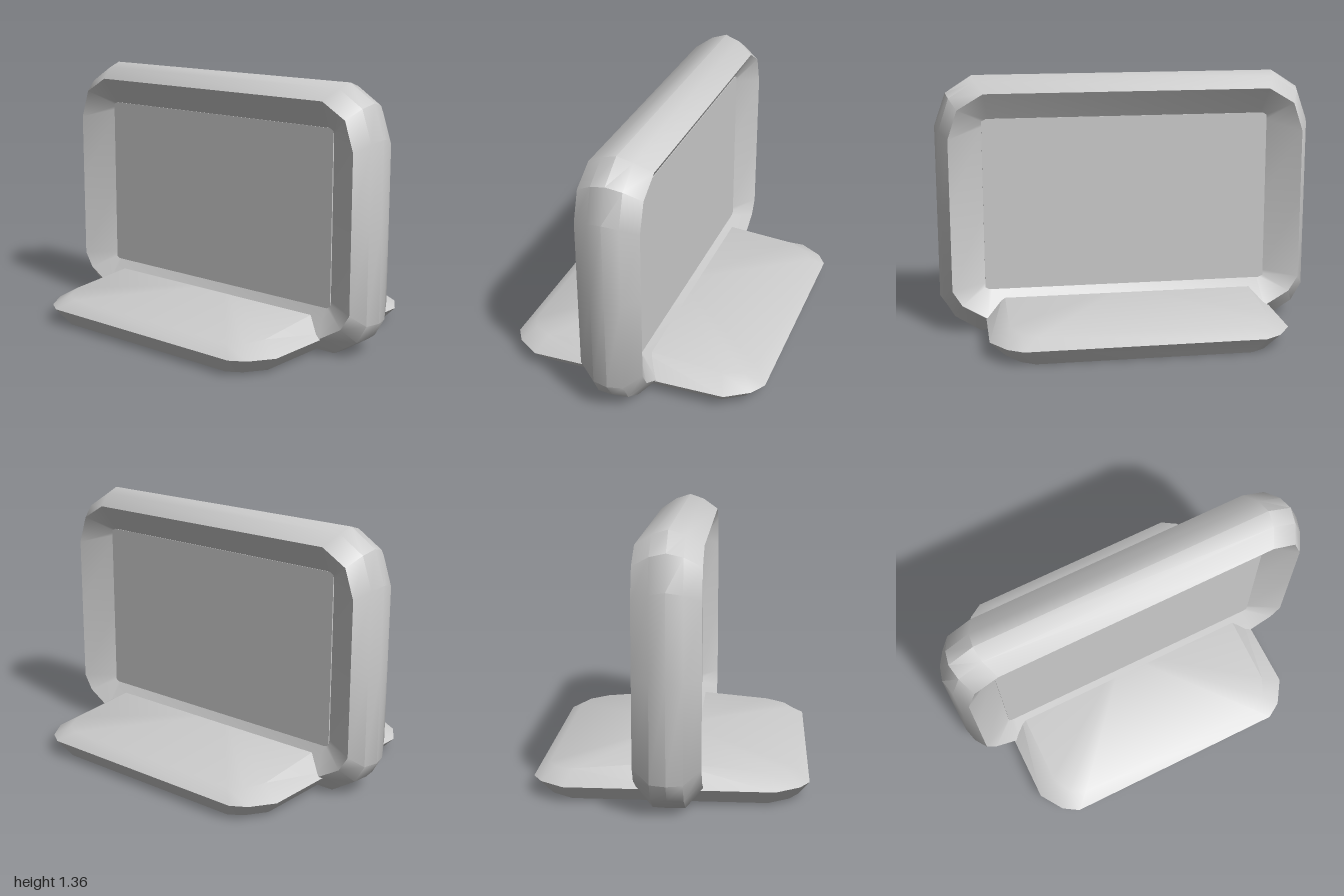
import * as THREE from 'three';
import { toCreasedNormals } from 'three/addons/utils/BufferGeometryUtils.js';

// Closed outline with two-step chamfered corners, counter-clockwise.
// c = [corner run in x, mid x inset, mid y inset, run at top, run at bottom]
function outline(w, lo, hi, [cx, mx, my, cyHi, cyLo]) {
  const mid = (lo + hi) / 2;
  const right = [[w - cx, lo], [w - mx, lo + my], [w, lo + cyLo], [w, mid],
    [w, hi - cyHi], [w - mx, hi - my], [w - cx, hi]];
  const left = right.map(([x, y]) => [-x, y]).reverse();
  return [...right, ...left];
}

// Skin between successive rings of [x, y, z], with optional fan caps
function loft(rings, capStart, capEnd) {
  const pos = [];
  const tri = (...pts) => pts.forEach((p) => pos.push(...p));
  const n = rings[0].length;
  for (let i = 0; i < n; i++) {
    const j = (i + 1) % n;
    for (let k = 0; k < rings.length - 1; k++) {
      const a = rings[k], b = rings[k + 1];
      tri(a[i], b[i], b[j]);
      tri(a[i], b[j], a[j]);
    }
    const last = rings[rings.length - 1];
    if (capStart) tri(capStart, rings[0][i], rings[0][j]);
    if (capEnd) tri(capEnd, last[j], last[i]);
  }
  const geo = new THREE.BufferGeometry();
  geo.setAttribute('position', new THREE.Float32BufferAttribute(pos, 3));
  return toCreasedNormals(geo, 0.62);
}

export function createModel() {
  const model = new THREE.Group();
  const grey = new THREE.MeshStandardMaterial({ color: 0xcccccc });
  const add = (name, geo, x = 0, y = 0, z = 0) => {
    const mesh = new THREE.Mesh(geo, grey);
    mesh.name = name;
    mesh.position.set(x, y, z);
    model.add(mesh);
  };

  // Frame: half section from the inner edge over the rim to the outer ridge
  const half = [
    [0.07, outline(0.755, 0.235, 1.13, [0.03, 0.01, 0.01, 0.03, 0.03])],
    [0.165, outline(0.935, 0.085, 1.28, [0.185, 0.05, 0.08, 0.23, 0.16])],
    [0.08, outline(0.98, 0, 1.335, [0.19, 0.055, 0.085, 0.25, 0.18])],
    [0, outline(1, 0, 1.36, [0.2, 0.06, 0.09, 0.26, 0.18])],
  ];
  const back = half.slice(0, 3).reverse().map(([z, o]) => [-z, o]);
  add('frame', loft([...half, ...back].map(([z, o]) => o.map(([x, y]) => [x, y, z]))));

  // Panel filling the frame opening
  add('panel', new THREE.BoxGeometry(1.52, 0.915, 0.16), 0, 0.683, 0);

  // Base plate: top slopes gently from the middle to the front and back
  const topY = (z) => 0.19 - 0.088 * Math.abs(z);
  const level = (w, d, c, height) =>
    outline(w, -d, d, c).map(([x, y]) => [x, height(y), -y]);
  add('base', loft([
    level(0.667, 0.62, [0.13, 0.05, 0.04, 0.14, 0.14], topY),
    level(0.77, 0.69, [0.16, 0.08, 0.05, 0.17, 0.17], () => 0.085),
    level(0.69, 0.635, [0.14, 0.07, 0.045, 0.15, 0.15], () => 0),
  ], [0, topY(0), 0], [0, 0, 0]), -0.008, 0, -0.005);

  return model;
}
